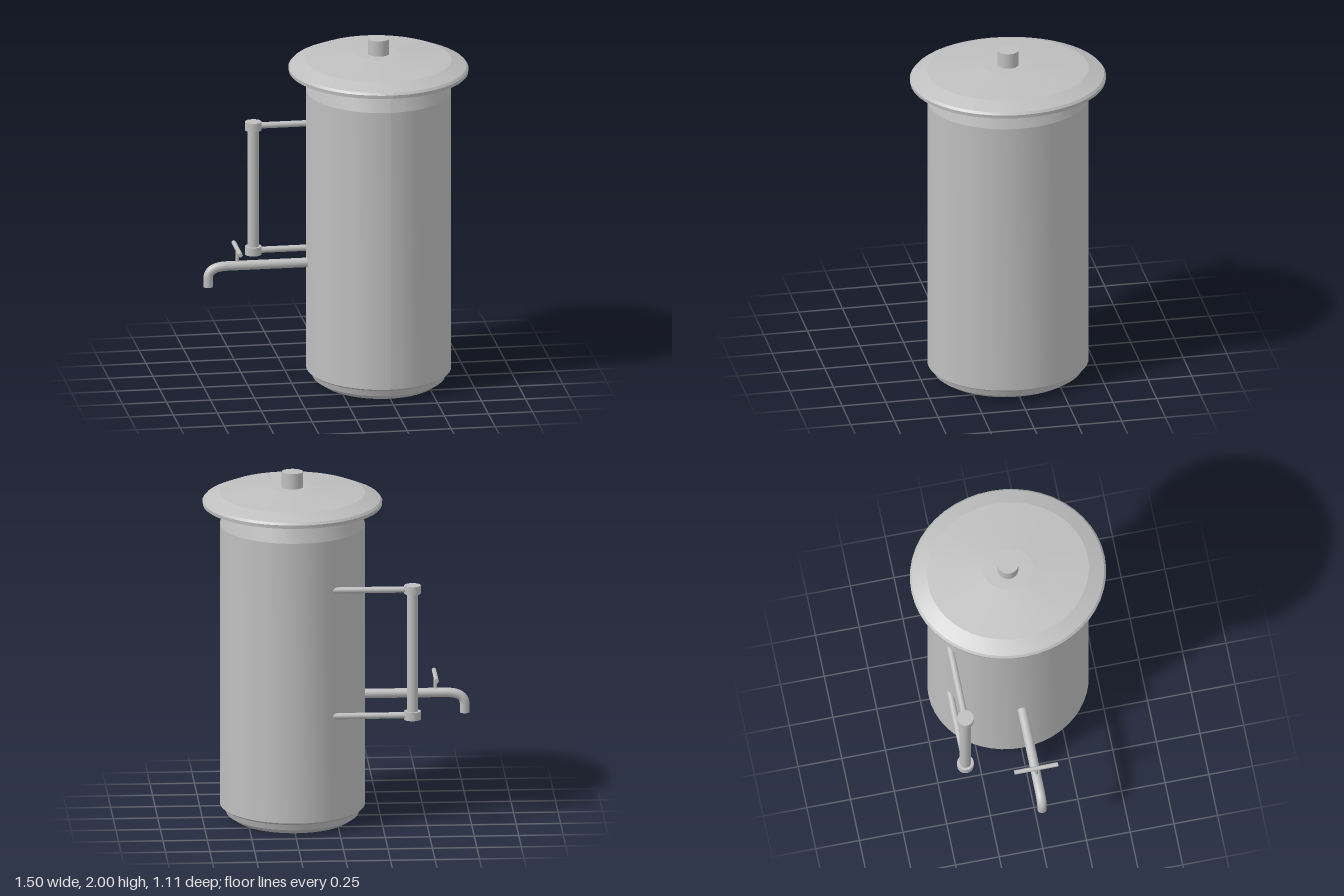
import * as THREE from 'three';

const CX = 0.243; // vessel axis
const V2 = (p) => new THREE.Vector2(p[0], p[1]);

export function createModel() {
  const group = new THREE.Group();
  const steel = new THREE.MeshStandardMaterial({ color: 0xbfbfbf });
  steel.name = 'steel';
  const facetedSteel = steel;

  const add = (name, geometry, x = 0, y = 0, z = 0) => {
    const mesh = new THREE.Mesh(geometry, facetedSteel);
    mesh.name = name;
    mesh.position.set(x, y, z);
    group.add(mesh);
    return mesh;
  };

  // Slightly oval turned shape: every ring is narrowed in x and widened in z
  // by the same amount; each profile segment is its own strip for crisp rims
  const oval = (name, profile) => {
    const part = new THREE.Group();
    part.name = name;
    part.position.x = CX;
    for (let i = 0; i < profile.length - 1; i++) {
      const g = new THREE.LatheGeometry([V2(profile[i]), V2(profile[i + 1])], 48);
      const p = g.attributes.position;
      for (let k = 0; k < p.count; k++) {
        const x = p.getX(k), z = p.getZ(k), r = Math.hypot(x, z);
        if (r < 1e-6) continue;
        const d = 0.024 * Math.min(1, r / 0.3);
        p.setX(k, x * (1 - d / r));
        p.setZ(k, z * (1 + d / r));
      }
      g.computeVertexNormals();
      const mesh = new THREE.Mesh(g, steel);
      mesh.name = name + 'Band';
      part.add(mesh);
    }
    group.add(part);
  };

  // Straight round bar between two points
  const bar = (name, a, b, r, sides = 16) => {
    const from = new THREE.Vector3(...a), to = new THREE.Vector3(...b);
    const dir = to.clone().sub(from);
    const mesh = add(name, new THREE.CylinderGeometry(r, r, dir.length(), sides));
    mesh.position.copy(from).add(to).multiplyScalar(0.5);
    mesh.quaternion.setFromUnitVectors(new THREE.Vector3(0, 1, 0), dir.normalize());
  };

  // Vessel with stepped foot, shoulder and neck
  oval('vessel', [
    [0, 0], [0.355, 0], [0.396, 0.028], [0.408, 0.062], [0.418, 0.066],
    [0.431, 0.076], [0.431, 1.7], [0.406, 1.79], [0.391, 1.79], [0.391, 1.815],
  ]);

  // Lid and knob
  oval('lid', [
    [0, 1.812], [0.527, 1.812], [0.529, 1.832], [0.518, 1.845],
    [0.432, 1.88], [0.13, 1.91], [0, 1.912],
  ]);
  add('knob', new THREE.CylinderGeometry(0.06, 0.06, 0.1, 32), CX, 1.95, 0);

  // Sight gauge: glass tube, end fittings and connecting arms
  const gx = -0.41, gz = -0.375;
  bar('gaugeTube', [gx, 0.66, gz], [gx, 1.42, gz], 0.032, 24);
  for (const y of [0.675, 1.405]) {
    bar('gaugeFitting', [gx, y - 0.024, gz], [gx, y + 0.024, gz], 0.047, 24);
    bar('gaugeArm', [gx, y, gz], [0.06, y, gz], 0.018);
  }

  // Tap: straight pipe bending down into a hollow outlet
  const path = new THREE.CurvePath();
  const v = (x, y) => new THREE.Vector3(x, y, 0);
  path.add(new THREE.LineCurve3(v(-0.1, 0.705), v(-0.61, 0.705)));
  path.add(new THREE.CubicBezierCurve3(v(-0.61, 0.705), v(-0.68, 0.705), v(-0.725, 0.69), v(-0.725, 0.635)));
  path.add(new THREE.LineCurve3(v(-0.725, 0.635), v(-0.725, 0.588)));
  add('tapPipe', new THREE.TubeGeometry(path, 60, 0.027, 16, false));
  add('tapOutlet', new THREE.LatheGeometry(
    [[0, 0.05], [0.017, 0.05], [0.017, 0.001], [0.017, 0], [0.027, 0]].map(V2), 16), -0.725, 0.588, 0);

  // Tap stem and cross handle
  bar('tapStem', [-0.56, 0.7, 0], [-0.56, 0.805, 0], 0.01, 12);
  bar('tapHandle', [-0.56, 0.803, -0.125], [-0.56, 0.803, 0.125], 0.013, 12);

  return group;
}
